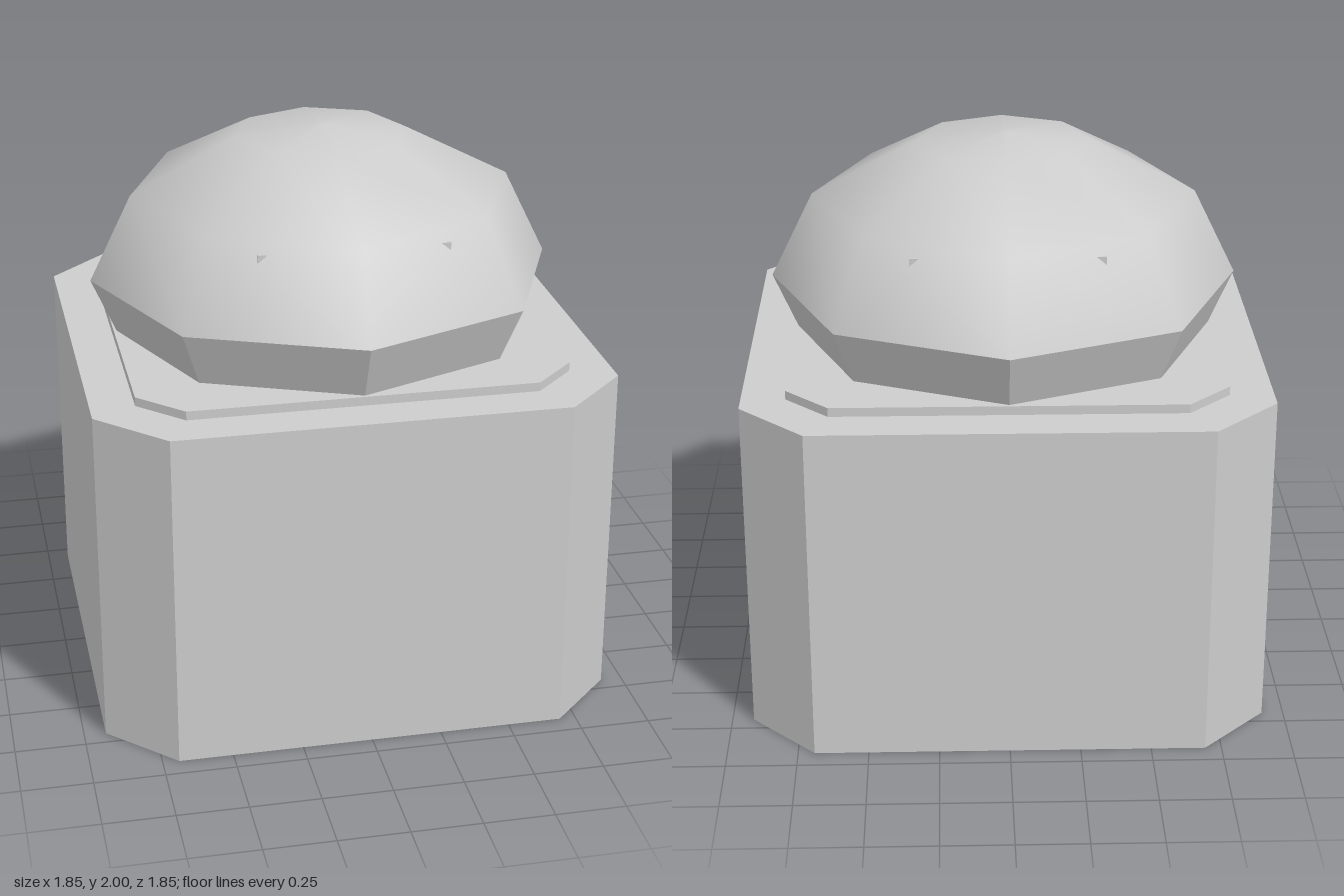
import * as THREE from 'three';

const grey = new THREE.MeshStandardMaterial({ color: 0xcccccc, side: THREE.DoubleSide });
grey.name = 'plain grey';

// corners of a square with cut corners, counter-clockwise
function cutSquare(half, cut) {
  return [[half, -cut], [half, cut], [cut, half], [-cut, half],
    [-half, cut], [-half, -cut], [-cut, -half], [cut, -half]];
}

// upright walls with a flat lid and an open underside
function openBlock(name, corners, y0, y1) {
  const group = new THREE.Group();
  group.name = name;

  const pos = [];
  corners.forEach(([x0, z0], i) => {
    const [x1, z1] = corners[(i + 1) % corners.length];
    pos.push(x0, y0, z0, x0, y1, z0, x1, y1, z1);
    pos.push(x0, y0, z0, x1, y1, z1, x1, y0, z1);
  });
  const walls = new THREE.BufferGeometry();
  walls.setAttribute('position', new THREE.Float32BufferAttribute(pos, 3));
  walls.computeVertexNormals();
  add(group, name + 'Walls', walls);

  const lid = new THREE.ShapeGeometry(new THREE.Shape(corners.map(([x, z]) => new THREE.Vector2(x, z))));
  lid.rotateX(-Math.PI / 2).translate(0, y1, 0);
  add(group, name + 'Lid', lid);
  return group;
}

function add(parent, name, geometry) {
  const mesh = new THREE.Mesh(geometry, grey);
  mesh.name = name;
  parent.add(mesh);
  return mesh;
}

export function createModel() {
  const model = new THREE.Group();
  model.name = 'domedPost';

  // hollow base and the thin plinth on it
  model.add(openBlock('base', cutSquare(0.923, 0.692), 0, 1.23));
  model.add(openBlock('plinth', cutSquare(0.768, 0.615), 1.23, 1.262));

  // faceted collar flaring up to the dome
  const collar = new THREE.CylinderGeometry(0.845, 0.757, 0.2, 8, 1, true).toNonIndexed();
  collar.computeVertexNormals();
  collar.translate(0, 1.362, 0);
  add(model, 'collar', collar);

  // smooth eight-sided dome
  const profile = [[0.845, 1.462], [0.692, 1.772], [0.31, 1.97], [0, 2]];
  add(model, 'dome', new THREE.LatheGeometry(profile.map(([r, y]) => new THREE.Vector2(r, y)), 8));

  // inner core whose top corners just break through the dome
  const core = new THREE.BoxGeometry(0.67, 0.468, 1.176);
  core.translate(0, 1.496, 0);
  add(model, 'core', core);

  return model;
}
